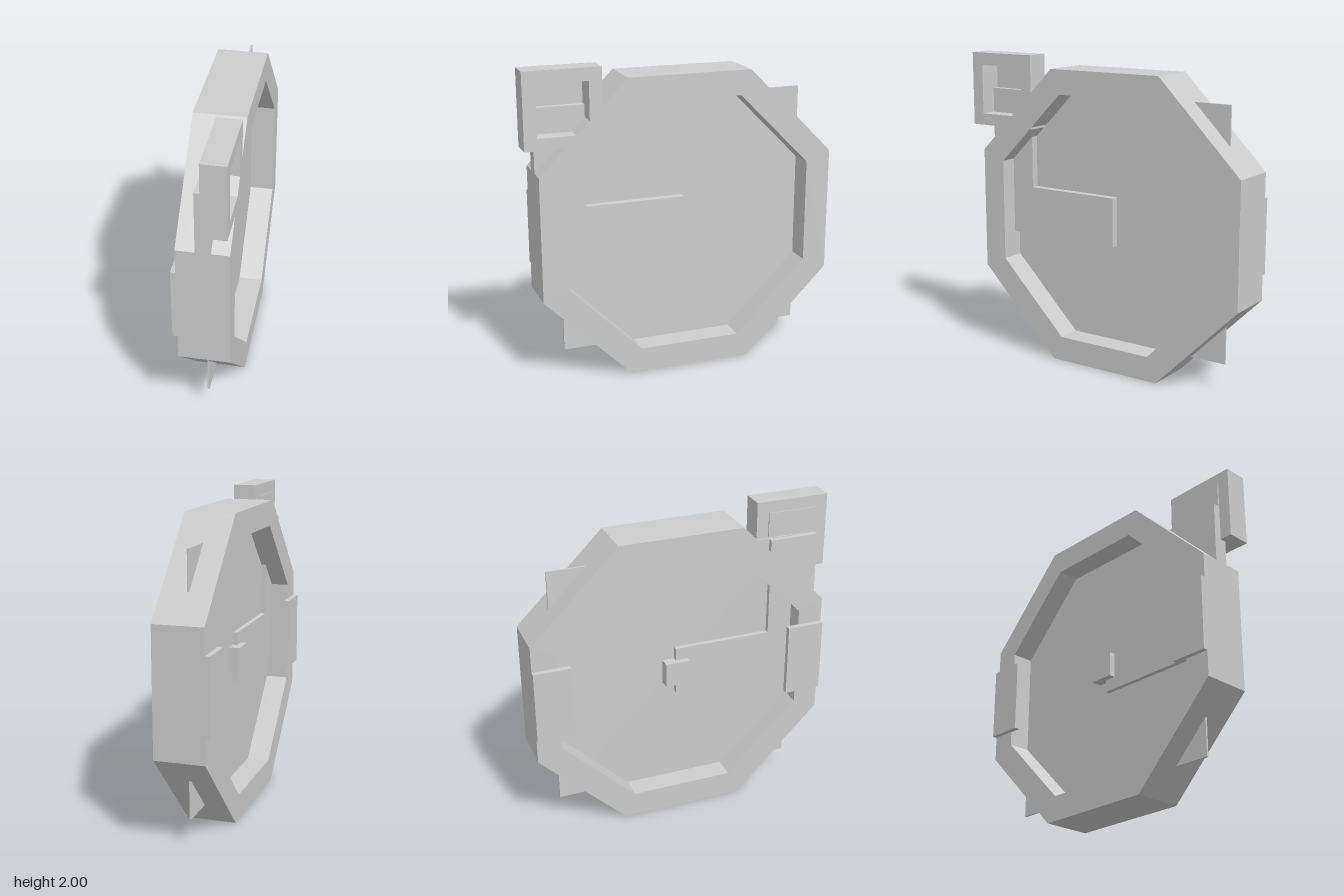
import * as THREE from 'three';

export function createModel() {
  const model = new THREE.Group();
  const grey = new THREE.MeshStandardMaterial({ color: 0xcccccc });
  grey.name = 'light grey';

  const add = (name, geometry) => {
    const mesh = new THREE.Mesh(geometry, grey);
    mesh.name = name;
    model.add(mesh);
  };

  // Box given by its limits on each axis
  const box = (name, [x0, x1], [y0, y1], [z0, z1]) => add(name,
    new THREE.BoxGeometry(x1 - x0, y1 - y0, z1 - z0)
      .translate((x0 + x1) / 2, (y0 + y1) / 2, (z0 + z1) / 2));

  // Side profile of [z, y] points, extruded from x0 to x1
  const points = (list) => list.map(([z, y]) => new THREE.Vector2(-z, y));
  const slab = (name, outline, hole, x0, x1) => {
    const shape = new THREE.Shape(points(outline));
    if (hole) shape.holes.push(new THREE.Path(points(hole)));
    add(name, new THREE.ExtrudeGeometry(shape, { depth: x1 - x0, bevelEnabled: false })
      .rotateY(Math.PI / 2).translate(x0, 0, 0));
  };

  // Octagon and rectangle outlines around a centre
  const octagon = (cz, cy, r, h) => [
    [h, -r], [-h, -r], [-r, -h], [-r, h], [-h, r], [h, r], [r, h], [r, -h],
  ].map(([z, y]) => [cz + z, cy + y]);
  const rect = (z0, z1, y0, y1) => [[z1, y0], [z0, y0], [z0, y1], [z1, y1]];

  // Octagonal rim, with a thin square sheet whose corners poke out
  slab('rim', octagon(-0.04, 0.963, 0.96, 0.398), octagon(-0.04, 0.965, 0.80, 0.333), -0.145, 0.17);
  box('sheet', [0, 0.012], [0.165, 1.765], [-0.84, 0.76]);

  // L-shaped arm leading from the middle to the upper housing
  slab('arm', [[0.92, 0.80], [-0.04, 0.80], [-0.04, 1.12], [0.60, 1.12], [0.60, 1.76], [0.92, 1.76]],
    null, -0.03, 0.062);
  box('hub', [-0.07, 0], [0.88, 1.04], [-0.12, 0.04]);

  // Square housing with a recessed window
  slab('housing', rect(0.52, 1, 1.525, 2), rect(0.60, 0.92, 1.60, 1.92), 0.02, 0.17);
  box('windowPane', [0.012, 0.021], [1.60, 1.925], [0.60, 0.92]);

  // Pads on the rim
  box('frontPad', [-0.175, -0.14], [0.725, 1.20], [0.68, 0.92]);
  box('backPad', [-0.175, -0.14], [0.725, 1.20], [-1, -0.765]);

  return model;
}
